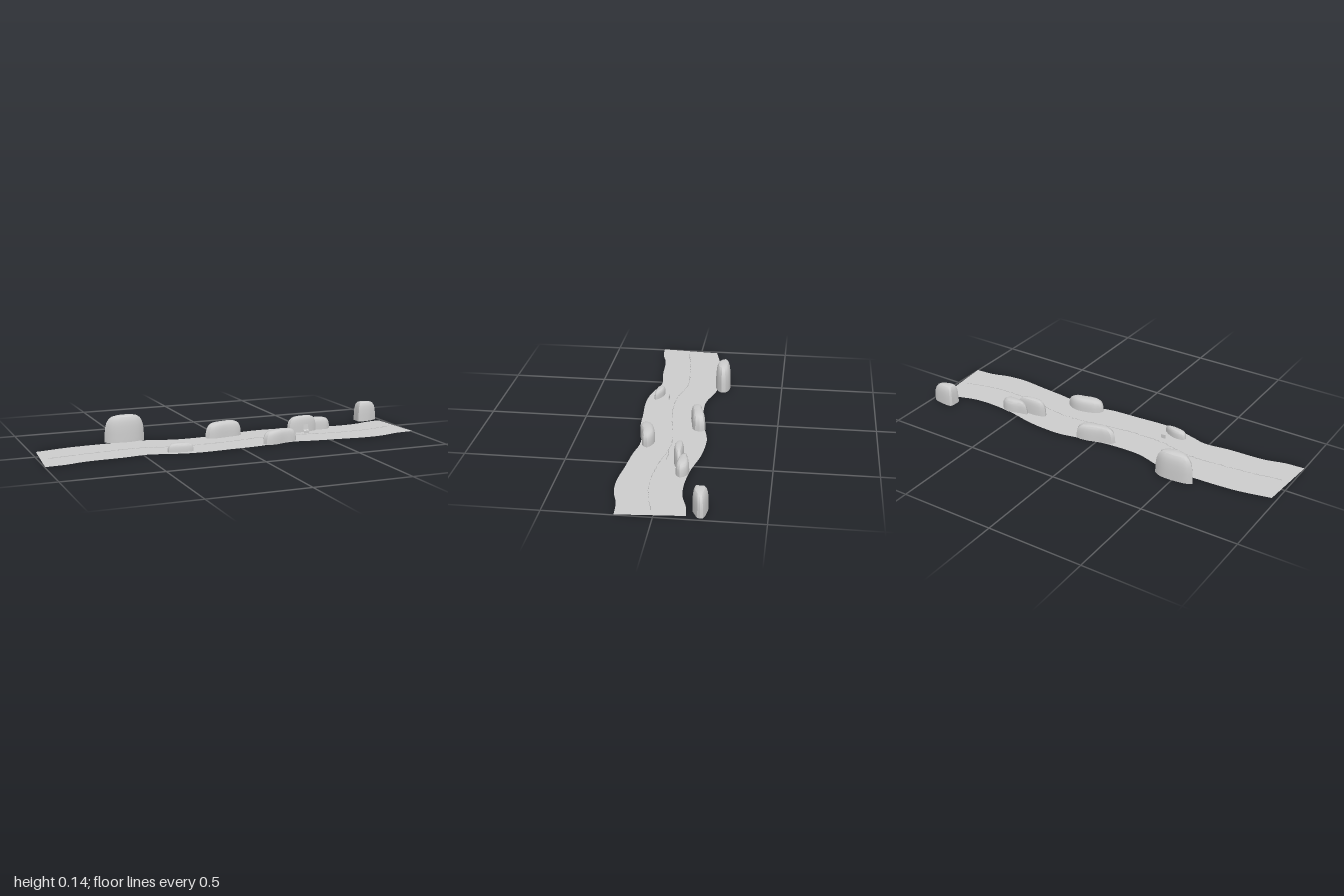
import * as THREE from 'three';
import { toCreasedNormals } from 'three/addons/utils/BufferGeometryUtils.js';

const stone = new THREE.MeshStandardMaterial({ color: 0xcccccc, side: THREE.DoubleSide });
stone.name = 'pale grey';
const GROUND = 0.003;

function surface(positions, index) {
  const g = new THREE.BufferGeometry();
  g.setAttribute('position', new THREE.Float32BufferAttribute(positions, 3));
  g.setIndex(index);
  g.computeVertexNormals();
  return g;
}

function named(name, geometry) {
  const m = new THREE.Mesh(geometry, stone);
  m.name = name;
  return m;
}

// smooth curve through [x, z] pairs
const curve = (pts, closed = false) =>
  new THREE.CatmullRomCurve3(pts.map(([x, z]) => new THREE.Vector3(x, 0, z)), closed);

// Domed boulder, open underneath: its plan outline shrinks towards the apex
function boulder(name, height, apex, outline, sides = 20) {
  const plan = curve(outline, true).getSpacedPoints(sides).slice(0, sides);
  const rings = [[0, 1], [0.35, 0.99], [0.6, 0.95], [0.76, 0.88], [0.88, 0.77], [0.95, 0.63], [0.99, 0.4], [1, 0]];
  const pos = [], idx = [];
  rings.forEach(([y, s], i) => {
    for (let j = 0; j < sides; j++) {
      const p = plan[j];
      pos.push(apex[0] + (p.x - apex[0]) * s, y * height, apex[1] + (p.z - apex[1]) * s);
      if (i === rings.length - 1) continue;
      const a = i * sides + j, b = i * sides + (j + 1) % sides;
      idx.push(a, a + sides, b);
      if (i < rings.length - 2) idx.push(b, a + sides, b + sides);
    }
  });
  return named(name, toCreasedNormals(surface(pos, idx), 0.45));
}

// Strip between two rows of points
function strip(rowA, rowB) {
  const pos = [], idx = [];
  rowA.forEach((p, i) => {
    pos.push(p.x, p.y, p.z, rowB[i].x, rowB[i].y, rowB[i].z);
    if (i) idx.push(2 * i - 2, 2 * i - 1, 2 * i, 2 * i, 2 * i - 1, 2 * i + 1);
  });
  return surface(pos, idx);
}

export function createModel() {
  const model = new THREE.Group();
  model.name = 'rockyPath';

  // Winding ground ribbon
  const back = curve([[-0.975, -0.095], [-0.8, -0.13], [-0.6, -0.143], [-0.4, -0.145], [-0.25, -0.105],
    [-0.1, -0.105], [0.05, -0.125], [0.2, -0.155], [0.3, -0.155], [0.4, -0.145], [0.55, -0.113],
    [0.7, -0.1], [0.8, -0.107], [0.9, -0.135], [0.975, -0.145]]).getSpacedPoints(80);
  const front = curve([[-1, 0.225], [-0.9, 0.217], [-0.8, 0.192], [-0.6, 0.18], [-0.48, 0.165],
    [-0.4, 0.185], [-0.3, 0.21], [-0.2, 0.217], [-0.05, 0.207], [0.1, 0.197], [0.2, 0.175], [0.3, 0.168],
    [0.4, 0.185], [0.55, 0.2], [0.7, 0.215], [0.8, 0.207], [0.9, 0.18], [1, 0.172]]).getSpacedPoints(80);
  [...back, ...front].forEach(p => { p.y = GROUND; });
  model.add(named('ground', strip(back, front)));

  // Thin ragged ridge along the middle of the ground
  let seed = 7;
  const rand = () => (seed = (seed * 16807) % 2147483647) / 2147483647;
  const middle = curve([[-0.95, 0.07], [-0.8, 0.045], [-0.6, 0.025], [-0.45, 0.02], [-0.3, 0.055],
    [-0.15, 0.06], [0.05, 0.04], [0.2, 0.015], [0.32, 0.015], [0.5, 0.045], [0.7, 0.06], [0.82, 0.045],
    [0.95, 0.015]]).getSpacedPoints(300);
  const low = [], high = [];
  for (const p of middle) {
    const z = p.z + (rand() - 0.5) * 0.006;
    low.push(new THREE.Vector3(p.x, GROUND, z));
    high.push(new THREE.Vector3(p.x, GROUND + 0.001 + rand() * 0.003, z));
  }
  model.add(named('pathRidge', strip(low, high)));

  // Boulders beside the path
  model.add(
    boulder('tallBoulder', 0.14, [-0.495, -0.17], [[-0.6, -0.188], [-0.58, -0.202], [-0.53, -0.212],
      [-0.43, -0.212], [-0.39, -0.185], [-0.41, -0.157], [-0.47, -0.136], [-0.56, -0.145]]),
    boulder('smallBoulder', 0.045, [-0.312, 0.154], [[-0.375, 0.147], [-0.36, 0.132], [-0.31, 0.132],
      [-0.27, 0.15], [-0.245, 0.172], [-0.27, 0.179], [-0.33, 0.175], [-0.37, 0.163]]),
    boulder('middleBoulder', 0.083, [0.015, -0.092], [[-0.09, -0.075], [-0.08, -0.095], [-0.02, -0.11],
      [0.06, -0.132], [0.11, -0.132], [0.12, -0.1], [0.1, -0.075], [0.03, -0.06], [-0.06, -0.05]]),
    boulder('frontBoulder', 0.07, [0.235, 0.143], [[0.135, 0.16], [0.15, 0.132], [0.21, 0.106],
      [0.28, 0.1], [0.333, 0.13], [0.31, 0.155], [0.26, 0.163], [0.2, 0.182], [0.15, 0.182]]),
    boulder('pairBoulderNear', 0.088, [0.453, -0.045], [[0.365, -0.05], [0.4, -0.065], [0.47, -0.07],
      [0.537, -0.062], [0.53, -0.045], [0.49, -0.028], [0.42, -0.02], [0.375, -0.03]]),
    boulder('pairBoulderFar', 0.067, [0.545, -0.077], [[0.46, -0.085], [0.5, -0.095], [0.55, -0.108],
      [0.6, -0.102], [0.625, -0.072], [0.6, -0.05], [0.52, -0.052], [0.475, -0.065]]),
    // Cut boulder with a flat side
    boulder('endBoulder', 0.108, [0.895, -0.192], [[0.86, -0.168], [0.86, -0.198], [0.862, -0.228],
      [0.94, -0.23], [0.984, -0.215], [0.98, -0.195], [0.955, -0.18], [0.92, -0.166]], 24)
  );

  // Small bent seat: front panel, sloping seat, upright back
  const profile = [[0.013, GROUND], [0.013, 0.017], [0.006, 0.023], [0.003, 0.05]];
  const side = x => profile.map(([z, y]) => new THREE.Vector3(x, y, z));
  model.add(named('bentSeat', toCreasedNormals(strip(side(0.435), side(0.463)), 0.3)));

  // Little marker plate on the other side of the path
  const plate = named('markerPlate', new THREE.BoxGeometry(0.025, 0.02, 0.005));
  plate.position.set(-0.27, GROUND + 0.01, 0.1);
  model.add(plate);

  return model;
}
